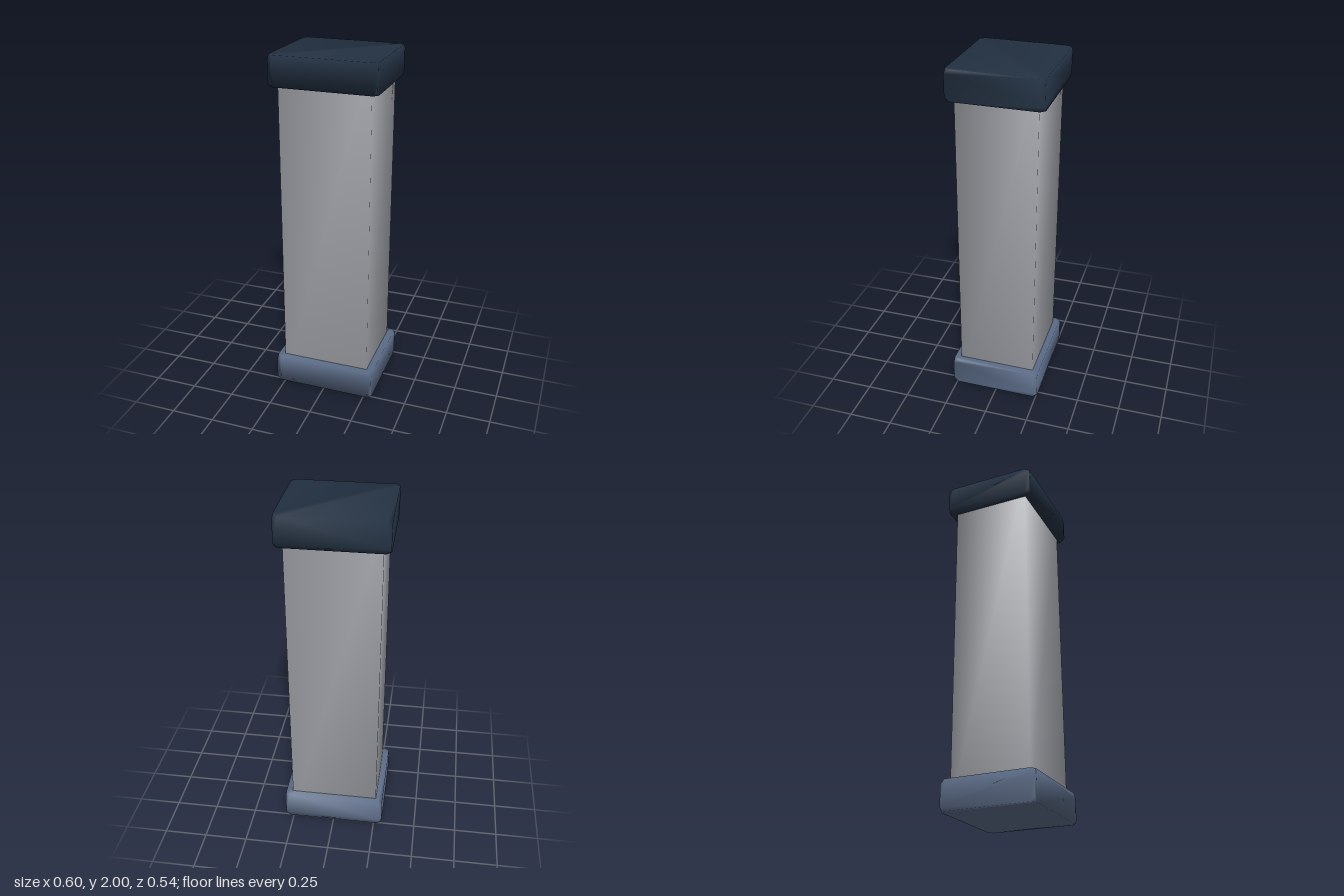
import * as THREE from 'three';
import { mergeVertices } from 'three/addons/utils/BufferGeometryUtils.js';
import { ConvexGeometry } from 'three/addons/geometries/ConvexGeometry.js';

const paint = (name, color) => {
  const material = new THREE.MeshStandardMaterial({ color });
  material.name = name;
  return material;
};

// Share the corners so that the shading runs softly around the edges
function smooth(geometry) {
  geometry.deleteAttribute('normal');
  geometry.deleteAttribute('uv');
  const shared = mergeVertices(geometry, 1e-4);
  shared.computeVertexNormals();
  return shared;
}

// Box with each of its eight corners nipped off by c
function nippedBox(w, h, d, c) {
  const points = [];
  for (const x of [-1, 1]) for (const y of [-1, 1]) for (const z of [-1, 1]) {
    for (const [a, b, e] of [[c, 0, 0], [0, c, 0], [0, 0, c]]) {
      points.push(new THREE.Vector3(x * (w / 2 - a), y * (h / 2 - b), z * (d / 2 - e)));
    }
  }
  return smooth(new ConvexGeometry(points));
}

export function createModel() {
  const model = new THREE.Group();
  const post = new THREE.Group();
  post.name = 'post';
  model.add(post);

  const add = (name, geometry, material, y) => {
    const mesh = new THREE.Mesh(geometry, material);
    mesh.name = name;
    mesh.position.y = y - 1;
    post.add(mesh);
  };

  // Square column running through both collars
  add('column', smooth(new THREE.BoxGeometry(0.515, 1.985, 0.45)), paint('column grey', 0xa3a5ab), 1);

  // Lower and upper collars
  add('base', nippedBox(0.595, 0.17, 0.525, 0.025), paint('base slate blue', 0x5a6a85), 0.089);
  add('cap', nippedBox(0.595, 0.168, 0.525, 0.025), paint('cap dark navy', 0x223041), 1.914);

  // The post leans back very slightly
  post.position.y = 1;
  post.rotation.x = -0.0068;
  return model;
}
